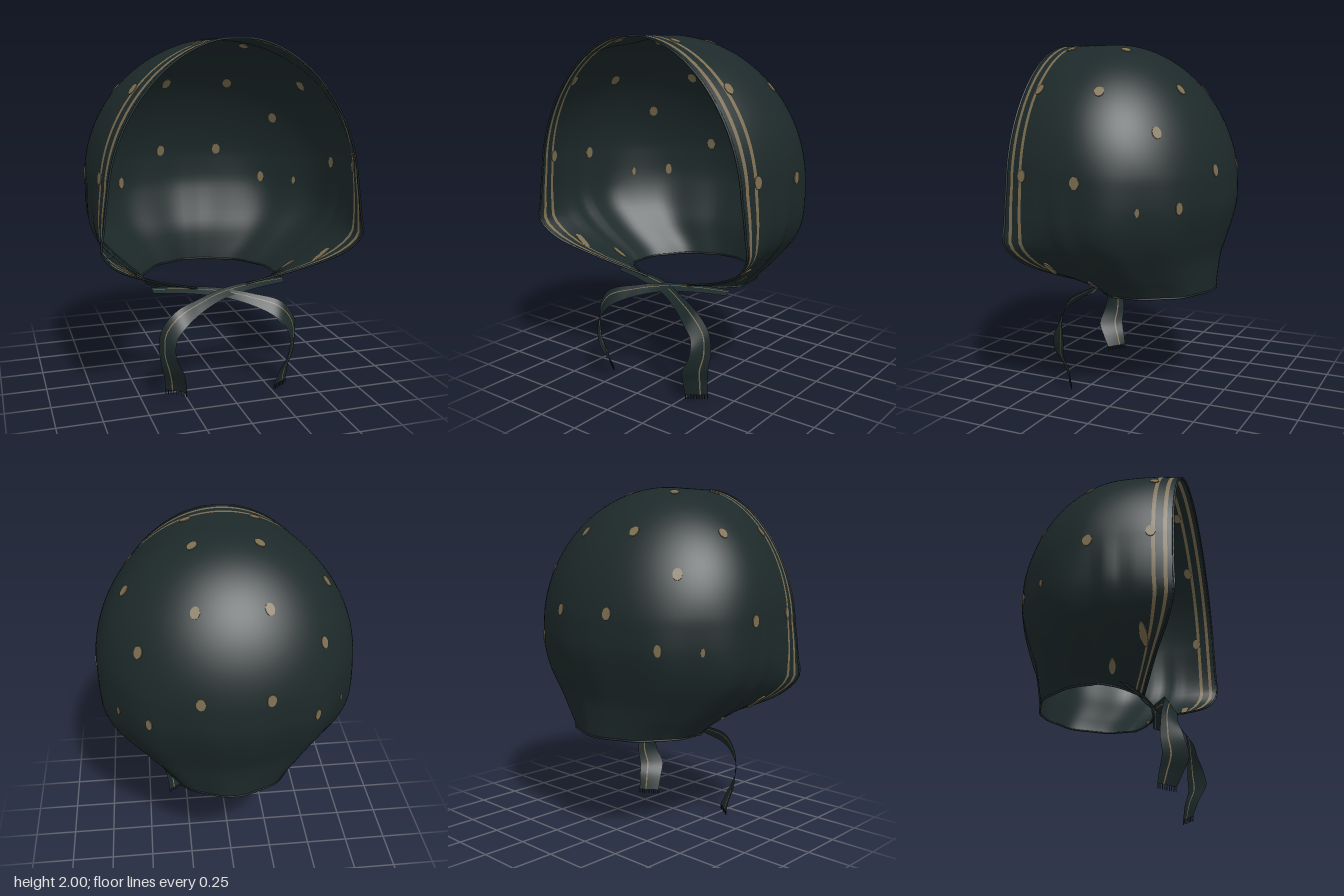
import * as THREE from 'three';

const cloth = new THREE.MeshStandardMaterial({ color: 0x1d292a, side: THREE.DoubleSide });
cloth.name = 'dark green cloth';
const gold = new THREE.MeshStandardMaterial({ color: 0x7c6d50, side: THREE.DoubleSide });
gold.name = 'dull gold';

const V = (x, y, z) => new THREE.Vector3(x, y, z);

// Smooth lookup in a table sampled every 0.1 from y = 0.6
function look(t, y) {
  const f = Math.max(0, Math.min(t.length - 1.0001, (y - 0.6) / 0.1));
  const i = Math.floor(f), k = f - i;
  const at = (n) => t[Math.max(0, Math.min(t.length - 1, n))];
  const m0 = (at(i + 1) - at(i - 1)) / 2, m1 = (at(i + 2) - at(i)) / 2;
  const k2 = k * k, k3 = k2 * k;
  return at(i) * (2 * k3 - 3 * k2 + 1) + m0 * (k3 - 2 * k2 + k) + at(i + 1) * (3 * k2 - 2 * k3) + m1 * (k3 - k2);
}
const WIDTH = [0.405, 0.505, 0.605, 0.69, 0.735, 0.748, 0.75, 0.748];
const RIM = [0.15, 0.43, 0.63, 0.73, 0.725, 0.715, 0.7, 0.685];
const FRONT = [0.215, 0.34, 0.45, 0.507, 0.51, 0.51, 0.51, 0.51];
const BACK = [-0.42, -0.425, -0.435, -0.465, -0.495, -0.518, -0.52, -0.515];
const CENTRE = [0, 0.03, 0.06, 0.08, 0.095, 0.1, 0.1, 0.1];

// Half section of the hood at a height: width, rim width, front, back, centre
function section(y) {
  if (y <= 1.25) return [WIDTH, RIM, FRONT, BACK, CENTRE].map((t) => look(t, y));
  const up = (y - 1.25) / 0.75, h = Math.sqrt(Math.max(0, 1 - up ** 2));
  const zc = 0.1 + 0.08 * up;
  return [0.75 * h, 0.75 * h * (0.925 - 0.1 * up), 0.51, zc - 0.62 * h, zc];
}

// Point on the hood: v runs 0..1 from rim to side and 1..2 from side to back
function hoodPoint(y, v, side = 1) {
  const [w, r, f, b, c] = section(y);
  let x, z;
  if (v < 1) {
    z = f + (c - f) * v;
    x = r + (w - r) * (1 - (1 - v) ** 2);
  } else {
    const a = (v - 1) * Math.PI / 2;
    x = w * Math.cos(a);
    z = c + (b - c) * Math.sin(a);
  }
  // soft gathers toward the neck
  const g = THREE.MathUtils.smoothstep(1.4 - y, 0, 0.5) * Math.max(0, Math.min(1, v * 2 - 0.8));
  const k = 1 + 0.014 * g * Math.sin(v * 17);
  return V(side * x * k, y, c + (z - c) * k);
}

// Sheet from a grid of points, with some columns coloured as stripes
function sheet(name, rows, cols, point, isStripe) {
  const pos = [], index = [], geo = new THREE.BufferGeometry();
  for (let i = 0; i <= rows; i++)
    for (let j = 0; j <= cols; j++) pos.push(...point(i, j).toArray());
  for (let j = 0; j < cols; j++) {
    const start = index.length;
    for (let i = 0; i < rows; i++) {
      const a = i * (cols + 1) + j, c = a + cols + 1;
      index.push(a, a + 1, c, a + 1, c + 1, c);
    }
    geo.addGroup(start, index.length - start, isStripe(j) ? 1 : 0);
  }
  geo.setAttribute('position', new THREE.Float32BufferAttribute(pos, 3));
  geo.setIndex(index);
  geo.computeVertexNormals();
  const mesh = new THREE.Mesh(geo, [cloth, gold]);
  mesh.name = name;
  return mesh;
}

// Hood shell with two stripes following the rim, thinning toward the neck
function makeHood() {
  const offsets = [0, 0.03, 0.05, 0.09, 0.11], fill = 8, round = 28;
  const half = offsets.length - 1 + fill + round, rows = 64;
  const point = (i, j) => {
    const y = 2 - 1.4 * (i / rows) ** 2;
    const side = j < half ? -1 : 1, n = j < half ? j : 2 * half - j;
    const s = section(y);
    const scale = (0.3 + 0.7 * THREE.MathUtils.smoothstep(y, 0.6, 0.9)) / (s[2] - s[4]);
    const last = 0.11 * scale;
    let v;
    if (n < 5) v = offsets[n] * scale;
    else if (n <= 4 + fill) v = last + (1 - last) * (n - 4) / fill;
    else v = 1 + (n - 4 - fill) / round;
    return hoodPoint(y, v, side);
  };
  return sheet('hood', rows, 2 * half, point, (j) => [1, 3].includes(Math.min(j, 2 * half - 1 - j)));
}

// Thin dot laid into the hood nearest to a target position
function makeDot(target, wide, long, side) {
  let best = 9, by = 1, bv = 1;
  for (let y = 0.62; y < 1.995; y += 0.01)
    for (let v = 0.02; v < 2; v += 0.02) {
      const d = hoodPoint(y, v).distanceTo(target);
      if (d < best) { best = d; by = y; bv = v; }
    }
  const p = hoodPoint(by, bv, side), e = 0.004;
  const across = hoodPoint(by, bv + e, side).sub(p).normalize();
  const down = hoodPoint(by - e, bv, side).sub(p);
  const normal = down.cross(across).normalize();
  const dot = new THREE.Mesh(new THREE.CylinderGeometry(1, 1, 0.008, 14), gold);
  dot.name = 'dot';
  dot.scale.set(wide, 1, long);
  dot.quaternion.setFromRotationMatrix(
    new THREE.Matrix4().makeBasis(across, normal, across.clone().cross(normal)));
  dot.position.copy(p);
  return dot;
}

function hem(name, points) {
  const curve = new THREE.CatmullRomCurve3(points);
  const mesh = new THREE.Mesh(new THREE.TubeGeometry(curve, 100, 0.006, 6), cloth);
  mesh.name = name;
  return mesh;
}

// Tie: runs from one neck corner, crosses the middle and hangs on the other side
function makeTie(side, lift) {
  const group = new THREE.Group();
  group.name = side > 0 ? 'leftTie' : 'rightTie';
  const path = new THREE.CatmullRomCurve3([
    V(0.4, 0.595, 0.17), V(0.2, 0.593, 0.215), V(0, 0.57, 0.255), V(-0.16, 0.535, 0.33), V(-0.29, 0.485, 0.39),
    V(-0.36, 0.4, 0.395), V(-0.37, 0.29, 0.405), V(-0.345, 0.2, 0.415), V(-0.325, 0.12, 0.385), V(-0.315, 0.025 + lift, 0.36)]);
  // half-width direction along the path, turning as the ribbon bends down
  const spread = new THREE.CatmullRomCurve3([
    V(0, 0.01, -0.025), V(0, 0.014, -0.03), V(0, 0.02, -0.03), V(-0.005, 0.03, -0.026), V(-0.022, 0.04, -0.026),
    V(-0.037, 0.02, -0.035), V(-0.036, 0, -0.055), V(-0.048, 0, -0.06), V(-0.05, 0, -0.05), V(-0.052, 0, -0.038)]);
  const across = [-1, -0.3, 0.28, 0.4, 1];
  const at = (t, k) => {
    const p = path.getPoint(t).addScaledVector(spread.getPoint(t), k);
    p.x *= side;
    p.z += side * 0.004;
    return p;
  };
  group.add(sheet('ribbon', 60, 4, (i, j) => at(i / 60, across[j]), (j) => j === 2));
  // frayed end
  for (let i = 0; i < 9; i++) {
    const thread = new THREE.Mesh(new THREE.BoxGeometry(0.004, 0.026, 0.004), cloth);
    thread.name = 'fringeThread';
    thread.position.copy(at(1, -0.95 + i * 0.2375));
    thread.position.y -= 0.012;
    group.add(thread);
  }
  return group;
}

export function createModel() {
  const model = new THREE.Group();
  model.name = 'tiedHood';
  model.add(makeHood());

  // Hems of the face opening and the neck
  const rim = [], neck = [];
  for (let i = -24; i <= 24; i++) {
    const y = 1.994 - 1.394 * (i / 24) ** 2;
    rim.push(hoodPoint(y, 0, i < 0 ? -1 : 1));
    neck.push(hoodPoint(0.6, 2 - Math.abs(i) / 12, i < 0 ? -1 : 1));
  }
  model.add(hem('faceHem', rim), hem('neckHem', neck));

  // Scattered dots, mirrored left and right: position, half width, half length
  const dots = [
    [0.19, 1.76, -0.31], [0.19, 1.31, -0.5], [0.5, 1.53, -0.29], [0.45, 1.13, -0.39, 0.02],
    [0.63, 1.12, -0.22, 0.012, 0.024], [0.56, 1.74, 0.02], [0.19, 1.97, 0.03], [0.74, 1.27, 0.07],
    [0.53, 1.74, 0.385], [0.19, 1.97, 0.385], [0.71, 1.29, 0.392],
    [0.46, 0.665, 0.12, 0.017, 0.05], [0.59, 0.74, 0.32, 0.02, 0.075]];
  const group = new THREE.Group();
  group.name = 'dots';
  for (const side of [-1, 1])
    for (const [x, y, z, wide = 0.026, long = 0.034] of dots) group.add(makeDot(V(x, y, z), wide, long, side));
  model.add(group);

  model.add(makeTie(1, 0.03), makeTie(-1, 0));
  return model;
}
